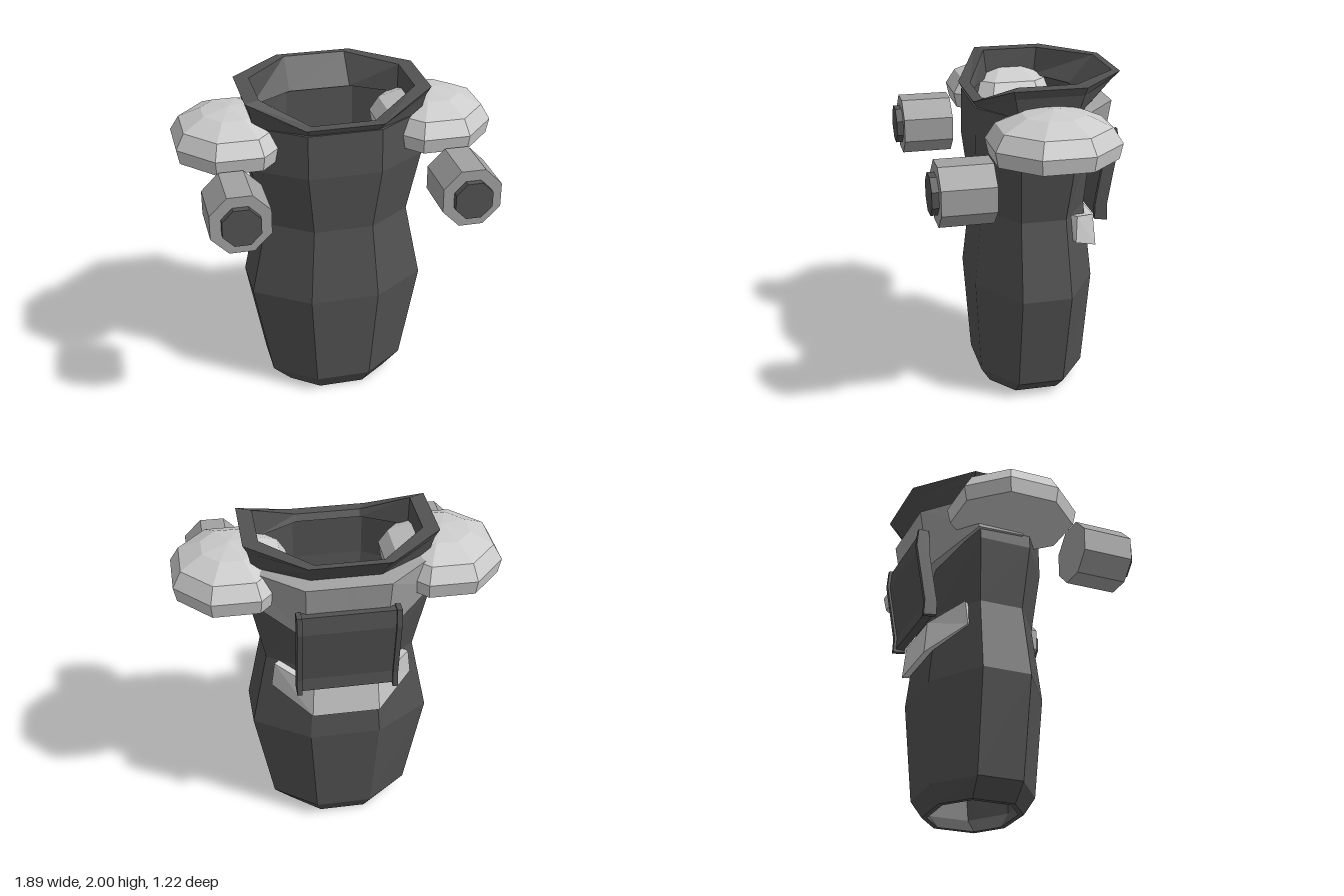
import * as THREE from 'three';

const DARK = 0x525252, MID = 0xa2a2a2, LIGHT = 0xcccccc;

function mesh(name, geometry, color) {
  const m = new THREE.Mesh(geometry, new THREE.MeshStandardMaterial({ color, flatShading: true, side: THREE.DoubleSide }));
  m.name = name;
  return m;
}

// Skin a list of equal-sized cross-sections, counter-clockwise seen from the last one.
function loft(rings, caps = false) {
  const n = rings[0].length, index = [];
  for (let i = 0; i < rings.length - 1; i++) {
    for (let j = 0; j < n; j++) {
      const a = i * n + j, b = i * n + (j + 1) % n;
      index.push(a, b, b + n, a, b + n, a + n);
    }
  }
  if (caps) {
    const last = (rings.length - 1) * n;
    for (let j = 1; j < n - 1; j++) index.push(0, j + 1, j, last, last + j, last + j + 1);
  }
  const g = new THREE.BufferGeometry();
  g.setAttribute('position', new THREE.Float32BufferAttribute(rings.flat(2), 3));
  g.setIndex(index);
  g.computeVertexNormals();
  return g;
}

// Eight-sided level section: half width, half flat, front/back z, side flat z range.
function octagon([y, w, h, zf, zb, sf, sb], cx = 0, yFront = y) {
  return [
    [cx - h, yFront, zf], [cx + h, yFront, zf], [cx + w, y, sf], [cx + w, y, sb],
    [cx + h, y, zb], [cx - h, y, zb], [cx - w, y, sb], [cx - w, y, sf],
  ];
}

const inset = ([y, w, h, zf, zb, sf, sb], t = 0.03) =>
  [y, w - t, h - t * 0.4, zf - t, zb + t, sf - t * 0.4, sb + t * 0.4];

// Band across the back: half its stations are given, the rest are mirrored.
// Each station holds outer bottom, inner bottom, inner top, outer top.
function backBand(half) {
  const mirrored = half.filter((s) => s[0][0] > 0).reverse().map((s) => s.map(([x, y, z]) => [-x, y, z]));
  return loft([...half, ...mirrored], true);
}

export function createModel() {
  const model = new THREE.Group();
  model.name = 'armourTorso';

  // Hollow body, open at both ends
  const sections = [
    [0, 0.31, 0.14, 0.16, -0.37, 0.03, -0.23],
    [0.1, 0.42, 0.17, 0.22, -0.43, 0.035, -0.245],
    [0.71, 0.535, 0.21, 0.26, -0.47, 0.04, -0.26],
    [1.18, 0.44, 0.18, 0.21, -0.42, 0.03, -0.24],
    [1.56, 0.52, 0.22, 0.255, -0.45, 0.05, -0.27],
    [1.83, 0.51, 0.22, 0.25, -0.46, 0.05, -0.28],
  ];
  const inner = sections.map((s) => inset(s)).reverse();
  model.add(mesh('body', loft([...sections, ...inner, sections[0]].map((s) => octagon(s))), DARK));

  // Flared neck collar, dipping at the front
  const neck = [1.83, 0.5, 0.2, 0.24, -0.46, 0.06, -0.28];
  const rim = [2, 0.55, 0.23, 0.265, -0.61, 0.1, -0.32];
  const innerRim = [2, 0.46, 0.19, 0.2, -0.57, 0.06, -0.28];
  const innerNeck = [1.83, 0.45, 0.19, 0.18, -0.42, 0.04, -0.26];
  model.add(mesh('collar', loft([
    octagon(neck),
    octagon([1.95, 0.525, 0.21, 0.255, -0.565, 0.085, -0.31], 0, 1.85),
    octagon(rim, 0, 1.87),
    octagon(innerRim, 0, 1.87),
    octagon(innerNeck),
    octagon(neck),
  ]), DARK));

  // Yoke around the shoulders and upper back
  model.add(mesh('backYoke', backBand([
    [[0.535, 1.63, 0], [0.495, 1.63, 0], [0.49, 1.84, 0], [0.53, 1.83, 0]],
    [[0.54, 1.62, -0.29], [0.495, 1.62, -0.27], [0.49, 1.84, -0.28], [0.54, 1.83, -0.3]],
    [[0.23, 1.46, -0.5], [0.21, 1.46, -0.43], [0.21, 1.84, -0.44], [0.24, 1.83, -0.56]],
    [[0, 1.31, -0.47], [0, 1.31, -0.42], [0, 1.84, -0.44], [0, 1.83, -0.56]],
  ]), MID));

  // Belt strip across the lower back
  model.add(mesh('backBelt', backBand([
    [[0.42, 1.02, -0.31], [0.39, 1.03, -0.29], [0.37, 1.18, -0.29], [0.4, 1.18, -0.32]],
    [[0.2, 0.9, -0.5], [0.19, 0.92, -0.44], [0.18, 1.11, -0.42], [0.19, 1.1, -0.48]],
  ]), LIGHT));

  // Back panel with raised side edges
  const slab = (half, points) => {
    const shape = new THREE.Shape(points.map(([z, y]) => new THREE.Vector2(-z, y)));
    const g = new THREE.ExtrudeGeometry(shape, { depth: 2 * half, bevelEnabled: false });
    return g.translate(0, 0, -half).rotateY(Math.PI / 2);
  };
  const panel = new THREE.Group();
  panel.name = 'backPanel';
  panel.add(mesh('panelPlate', slab(0.27, [
    [-0.52, 1.66], [-0.57, 1.66], [-0.58, 1.55], [-0.52, 1.2], [-0.525, 1.12], [-0.47, 1.12], [-0.47, 1.2], [-0.52, 1.5],
  ]), DARK));
  for (const side of [-1, 1]) {
    const edge = mesh('panelEdge', slab(0.015, [
      [-0.52, 1.67], [-0.585, 1.67], [-0.595, 1.56], [-0.535, 1.2], [-0.54, 1.1], [-0.46, 1.11], [-0.46, 1.2], [-0.51, 1.5],
    ]), DARK);
    edge.position.x = side * 0.28;
    panel.add(edge);
  }
  model.add(panel);

  // Shoulder domes and forward-facing barrels on both sides
  const domeSteps = [[1.64, 0.95], [1.73, 1], [1.82, 0.85], [1.885, 0.47], [1.91, 0.01]];
  for (const side of [1, -1]) {
    const label = side > 0 ? 'left' : 'right';
    const dome = domeSteps.map(([y, s]) => octagon(
      [y, 0.335 * s, 0.14 * s, -0.11 + 0.36 * s, -0.11 - 0.36 * s, -0.11 + 0.15 * s, -0.11 - 0.15 * s], side * 0.61));
    model.add(mesh(label + 'ShoulderPad', loft(dome, true), LIGHT));

    const barrel = new THREE.Group();
    barrel.name = label + 'Barrel';
    for (const [name, apothem, z0, z1, color] of [['casing', 0.173, 0.255, 0.565, MID], ['muzzle', 0.11, 0.5, 0.605, DARK]]) {
      const r = apothem / Math.cos(Math.PI / 8);
      const g = new THREE.CylinderGeometry(r, r, z1 - z0, 8).rotateY(Math.PI / 8).rotateX(Math.PI / 2);
      const part = mesh(name, g, color);
      part.position.z = (z0 + z1) / 2;
      barrel.add(part);
    }
    barrel.position.set(side * 0.668, 1.495, 0);
    model.add(barrel);
  }

  return model;
}
